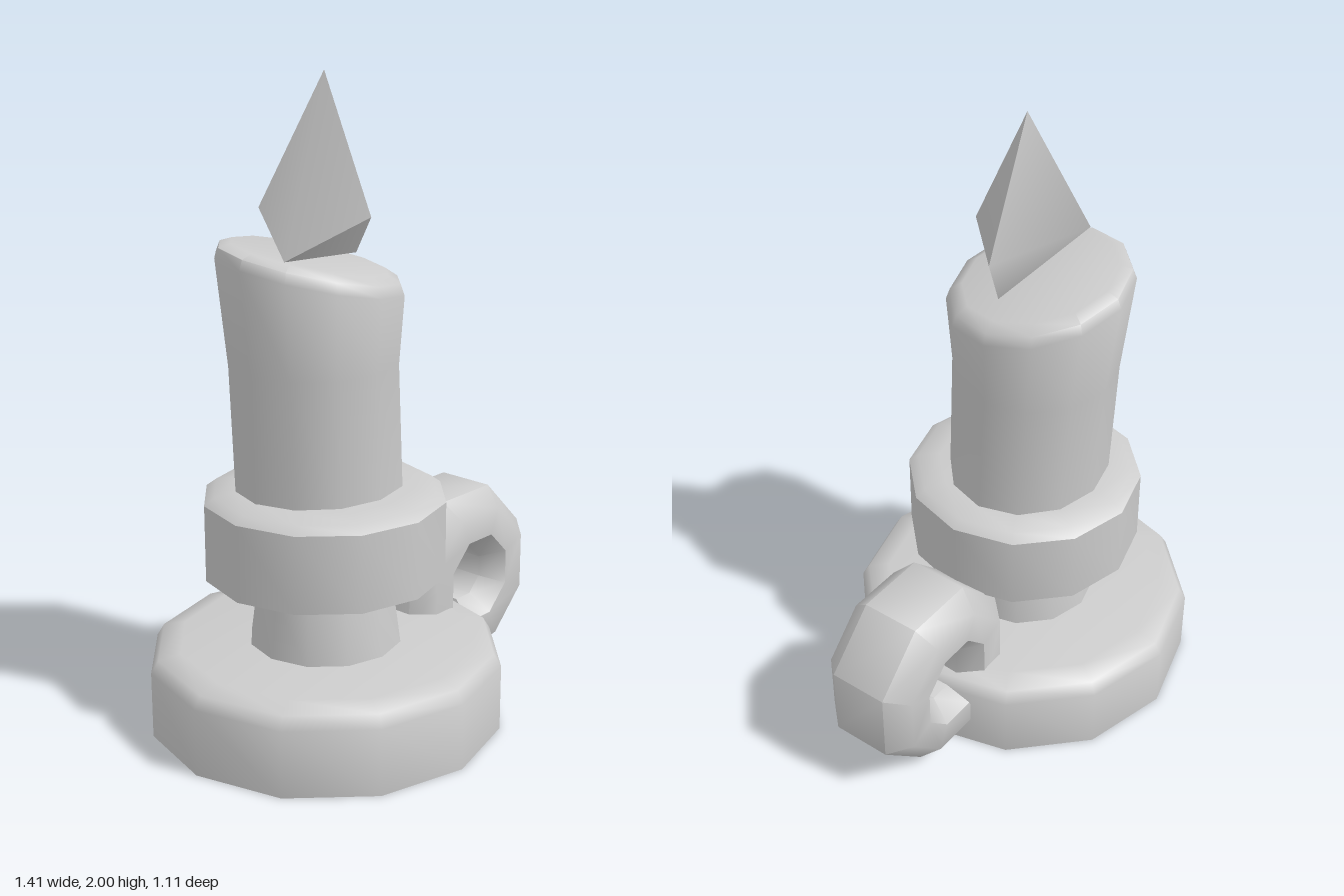
import * as THREE from 'three';
import { toCreasedNormals } from 'three/addons/utils/BufferGeometryUtils.js';

const AXIS_X = -0.153;
const SIDES = 12;

function makeMesh(name, geometry, crease = 0.9) {
  const material = new THREE.MeshStandardMaterial({ color: 0xcccccc });
  const mesh = new THREE.Mesh(toCreasedNormals(geometry, crease), material);
  mesh.name = name;
  return mesh;
}

function lathe(profile) {
  return new THREE.LatheGeometry(profile.map(([r, y]) => new THREE.Vector2(r, y)), SIDES);
}

function indexed(points, index) {
  const geometry = new THREE.BufferGeometry();
  geometry.setAttribute('position', new THREE.Float32BufferAttribute(points.flat(), 3));
  geometry.setIndex(index);
  return geometry;
}

// Candle: a leaning lathe whose rim is tilted and slightly dished
function candleGeometry() {
  const geometry = lathe([
    [0.274, 0.74], [0.265, 1.15], [0.284, 1.415], [0.272, 1.447], [0.235, 1.465], [0, 1.43],
  ]);
  const p = geometry.attributes.position;
  for (let i = 0; i < p.count; i++) {
    const x = p.getX(i), y = p.getY(i), z = p.getZ(i);
    const t = Math.min(1, (y - 0.74) / 0.67);
    const tilt = y > 1.3 ? -0.17 * x - 0.13 * z : 0;
    p.setXYZ(i, x - 0.027 * t, y + tilt, z * (0.9 + 0.1 * t) - 0.018 - 0.012 * t);
  }
  return geometry;
}

// Flame: a skewed faceted drop
function flameGeometry() {
  const points = [
    [-0.145, 2, 0],         // 0 tip
    [0.035, 1.59, 0],       // 1 left
    [-0.15, 1.6, 0.185],    // 2 front
    [-0.315, 1.47, 0],      // 3 right, low
    [-0.287, 1.61, -0.13],  // 4 back
    [-0.01, 1.455, 0],      // 5 bottom
  ];
  return indexed(points, [
    0, 2, 1, 0, 3, 2, 0, 4, 3, 0, 1, 4,
    5, 1, 2, 5, 2, 3, 5, 3, 4, 5, 4, 1,
  ]);
}

// Handle: a bevelled section swept round an octagonal arc, then straight down
function handleGeometry() {
  const cx = 0.42, cy = 0.32;
  const section = [
    [0.305, 0.095], [0.24, 0.16], [0.15, 0.16], [0.09, 0.09],
    [0.09, -0.09], [0.15, -0.16], [0.24, -0.16], [0.305, -0.095],
  ];
  const n = section.length;
  const points = [], index = [];
  for (let i = 0; i < 7; i++) {
    const a = THREE.MathUtils.degToRad(-112.5 + 45 * i);
    for (const [r, z] of section) points.push([cx + r * Math.cos(a), cy + r * Math.sin(a), z]);
  }
  for (const [r, z] of section) points.push([cx - r * 0.924, 0.15, z]);
  const last = points.length / n - 1;
  for (let i = 0; i < last; i++) {
    for (let j = 0; j < n; j++) {
      const a = i * n + j, b = i * n + (j + 1) % n;
      index.push(a, a + n, b, b, a + n, b + n);
    }
  }
  // End caps
  for (let j = 1; j < n - 1; j++) {
    index.push(0, j, j + 1, last * n, last * n + j + 1, last * n + j);
  }
  return indexed(points, index);
}

export function createModel() {
  const group = new THREE.Group();
  group.name = 'candlestick';

  // Turned parts share one axis
  const turned = {
    base: lathe([[0, 0], [0.553, 0], [0.553, 0.21], [0.53, 0.248], [0.46, 0.263], [0, 0.263]]),
    stem: lathe([[0.24, 0.25], [0.213, 0.45]]),
    collar: lathe([
      [0, 0.432], [0.225, 0.432], [0.375, 0.49], [0.375, 0.73],
      [0.345, 0.752], [0.275, 0.765], [0, 0.765],
    ]),
    candle: candleGeometry(),
  };
  for (const [name, geometry] of Object.entries(turned)) {
    const mesh = makeMesh(name, geometry);
    mesh.position.x = AXIS_X;
    group.add(mesh);
  }

  group.add(makeMesh('flame', flameGeometry(), 1.1));
  group.add(makeMesh('handle', handleGeometry()));
  return group;
}
